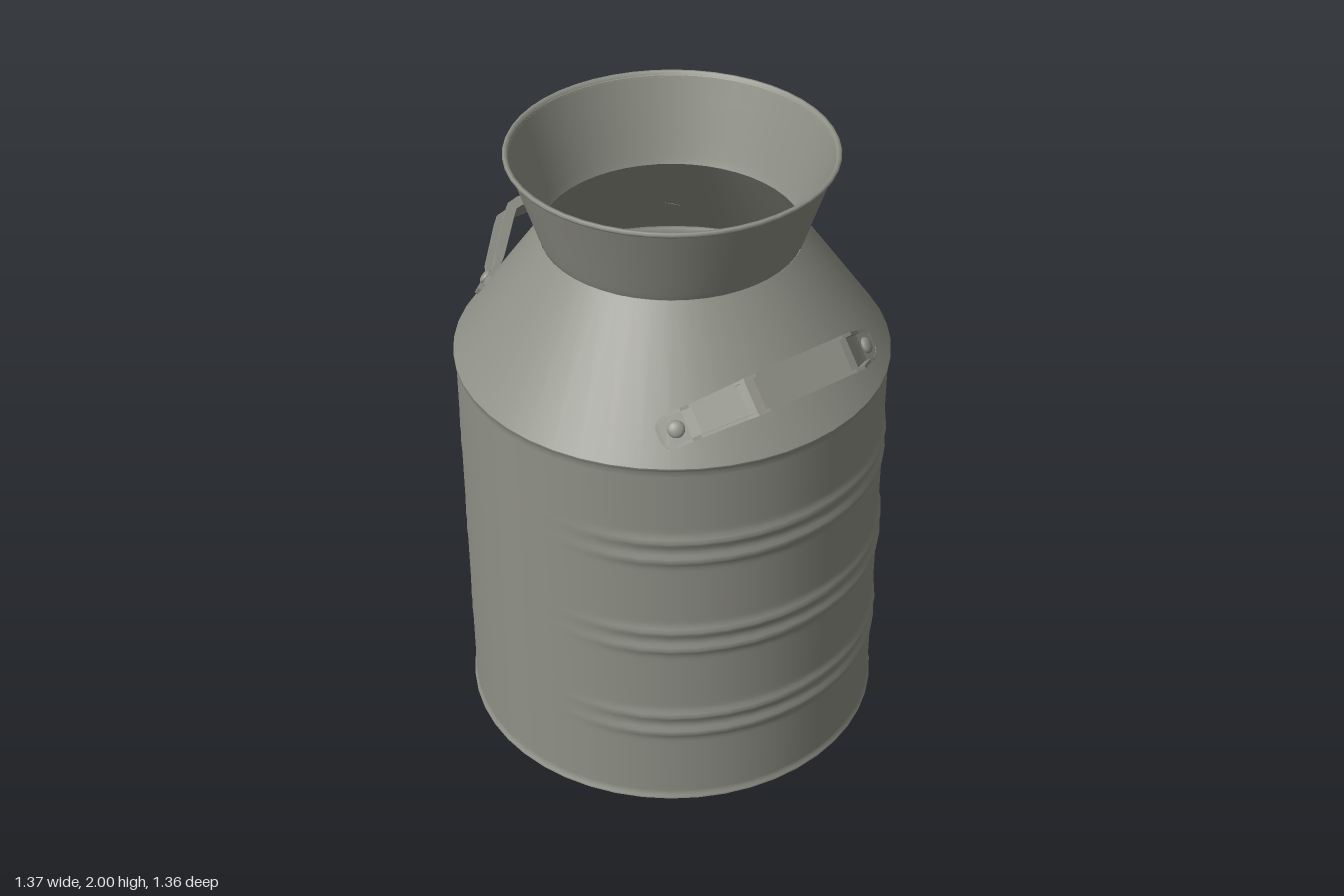
import * as THREE from 'three';
import { mergeVertices } from 'three/addons/utils/BufferGeometryUtils.js';

const SEGMENTS = 48;
const steel = new THREE.MeshStandardMaterial({ color: 0x8f9086, side: THREE.DoubleSide });
steel.name = 'dull steel';

function addMesh(parent, name, geometry) {
  const mesh = new THREE.Mesh(geometry, steel);
  mesh.name = name;
  parent.add(mesh);
  return mesh;
}

function lathe(points) {
  return new THREE.LatheGeometry(points.map(([r, y]) => new THREE.Vector2(r, y)), SEGMENTS);
}

// Straight wall with three pairs of pressed ridges that fade out towards front and back
function wallGeometry() {
  const profile = [[0.68, 0], [0.68, 0.008], [0.673, 0.014]];
  for (let y = 0.03; y < 1.3; y += 0.012) profile.push([0.673, y]);
  profile.push([0.673, 1.31], [0.68, 1.318], [0.68, 1.325]);
  let geometry = lathe(profile);
  geometry.deleteAttribute('uv');
  geometry.deleteAttribute('normal');
  geometry = mergeVertices(geometry);
  const pos = geometry.attributes.position;
  for (let i = 0; i < pos.count; i++) {
    const x = pos.getX(i), y = pos.getY(i), z = pos.getZ(i);
    const r = Math.hypot(x, z);
    const sideFade = THREE.MathUtils.smoothstep(Math.abs(x) / r, 0.4, 0.8);
    let bump = 0;
    for (const bandY of [0.32, 0.665, 1.015]) {
      // the middle band runs on around the back
      const fade = bandY === 0.665 && z < 0 ? 1 : sideFade;
      for (const offset of [-0.034, 0.034]) {
        bump += 0.01 * fade * Math.exp(-(((y - bandY - offset) / 0.017) ** 2));
      }
    }
    const k = (r + bump) / r;
    pos.setXYZ(i, x * k, y, z * k);
  }
  geometry.computeVertexNormals();
  return geometry;
}

// Channel-shaped strap swept along a bent path: x stands off the shoulder, z runs along
function strapGeometry() {
  // stand-off, z, half width, lip height
  const half = [
    [-0.028, 0.408, 0.022, 0.001], [-0.023, 0.398, 0.042, 0.001], [-0.01, 0.375, 0.052, 0.002],
    [0.015, 0.33, 0.052, 0.006], [0.035, 0.305, 0.052, 0.02], [0.15, 0.205, 0.056, 0.022],
    [0.168, 0.188, 0.058, 0.022], [0.174, 0.16, 0.058, 0.022],
  ];
  const path = [...half, ...half.slice().reverse().map(([d, z, w, l]) => [d, -z, w, l])];
  const vertices = [], index = [], n = 8;
  path.forEach(([d, z, w, lip], i) => {
    const a = path[Math.max(i - 1, 0)], b = path[Math.min(i + 1, path.length - 1)];
    const normal = new THREE.Vector2(a[1] - b[1], b[0] - a[0]).normalize();
    const e = w - Math.min(0.01, w * 0.4);
    const section = [[-w, lip], [-w, -0.01], [w, -0.01], [w, lip], [e, lip], [e, 0], [-e, 0], [-e, lip]];
    for (const [y, h] of section) vertices.push(d + normal.x * h, y, z + normal.y * h);
  });
  for (let i = 0; i < path.length - 1; i++) {
    for (let j = 0; j < n; j++) {
      const a = i * n + j, b = i * n + (j + 1) % n;
      index.push(a, b, a + n, b, b + n, a + n);
    }
  }
  // end caps
  for (const s of [0, (path.length - 1) * n]) {
    index.push(s + 1, s + 2, s + 5, s + 1, s + 5, s + 6);
  }
  const geometry = new THREE.BufferGeometry();
  geometry.setAttribute('position', new THREE.Float32BufferAttribute(vertices, 3));
  geometry.setIndex(index);
  const flat = geometry.toNonIndexed();
  flat.computeVertexNormals();
  return flat;
}

function handle(name) {
  const group = new THREE.Group();
  group.name = name;
  addMesh(group, 'strap', strapGeometry());
  for (const side of [-1, 1]) {
    const rivet = addMesh(group, 'rivet', new THREE.SphereGeometry(0.026, 16, 10));
    rivet.scale.x = 0.5;
    rivet.position.set(0.002, 0, side * 0.36);
    rivet.rotation.y = -side * 0.49;
  }
  group.position.set(0.497, 1.42, 0);
  group.rotation.z = 0.72;
  return group;
}

export function createModel() {
  const model = new THREE.Group();
  model.name = 'milk churn';

  addMesh(model, 'wall', wallGeometry());

  const base = addMesh(model, 'base', new THREE.CircleGeometry(0.678, SEGMENTS));
  base.rotation.x = Math.PI / 2;
  base.position.y = 0.002;

  addMesh(model, 'shoulder', lathe([[0.68, 1.325], [0.4, 1.72]]));

  // Flared neck, open at the top
  addMesh(model, 'neck', lathe([[0.398, 1.72], [0.408, 1.745], [0.43, 1.815], [0.46, 1.905], [0.486, 1.985]]));

  // Thin rolled edge around the mouth
  addMesh(model, 'rim', lathe([[0.484, 1.98], [0.496, 1.986], [0.5, 1.993], [0.496, 2], [0.487, 2], [0.482, 1.99]]));

  model.add(handle('leftHandle'));

  // The right handle sits a little higher
  const right = new THREE.Group();
  right.name = 'rightHandleMount';
  right.rotation.y = Math.PI;
  right.position.y = 0.015;
  right.add(handle('rightHandle'));
  model.add(right);

  return model;
}
